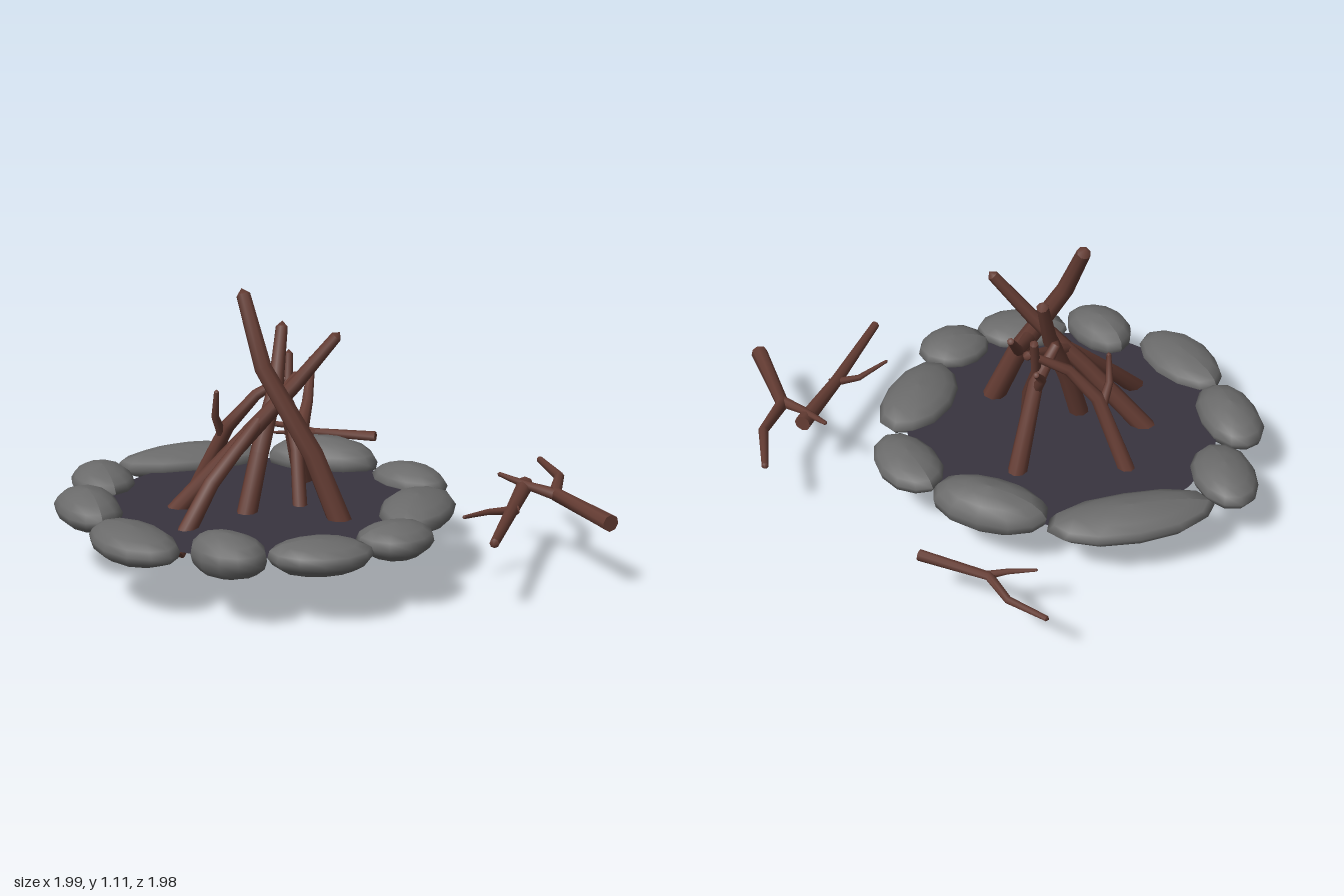
import * as THREE from 'three';

const bark = new THREE.MeshStandardMaterial({ color: 0x643c33 });
const rock = new THREE.MeshStandardMaterial({ color: 0x6b6b6b });
const ash = new THREE.MeshStandardMaterial({ color: 0x38343f, side: THREE.DoubleSide });
const SIDES = 8;

// Tapered eight-sided stick through points, with a flat butt and a short pointed tip
function stickGeometry(points, r0, r1) {
  const p = points.map(a => new THREE.Vector3(...a));
  const up = new THREE.Vector3(0, 1, 0);
  const n = p.length;
  const pos = [], idx = [];
  const ring = (c, q, r) => {
    for (let s = 0; s < SIDES; s++) {
      const a = (s / SIDES) * Math.PI * 2;
      const v = new THREE.Vector3(Math.cos(a) * r, 0, Math.sin(a) * r).applyQuaternion(q).add(c);
      pos.push(v.x, v.y, v.z);
    }
  };
  const frame = i => {
    const t = new THREE.Vector3();
    if (i > 0) t.add(p[i].clone().sub(p[i - 1]).normalize());
    if (i < n - 1) t.add(p[i + 1].clone().sub(p[i]).normalize());
    return new THREE.Quaternion().setFromUnitVectors(up, t.normalize());
  };
  const tipDir = p[n - 1].clone().sub(p[n - 2]).normalize();
  for (let i = 0; i < n; i++) {
    const r = r0 + (r1 - r0) * (i / (n - 1));
    const c = i === n - 1 ? p[i].clone().addScaledVector(tipDir, -r1) : p[i];
    ring(c, frame(i), r);
  }
  for (let i = 0; i < n - 1; i++) {
    for (let s = 0; s < SIDES; s++) {
      const a = i * SIDES + s, b = i * SIDES + (s + 1) % SIDES;
      idx.push(a, a + SIDES, b, b, a + SIDES, b + SIDES);
    }
  }
  // Tip and butt, with their own rings so the edges stay crisp
  const tipRing = pos.length / 3;
  ring(p[n - 1].clone().addScaledVector(tipDir, -r1), frame(n - 1), r1);
  pos.push(p[n - 1].x, p[n - 1].y, p[n - 1].z);
  const buttRing = pos.length / 3;
  ring(p[0], frame(0), r0);
  pos.push(p[0].x, p[0].y, p[0].z);
  for (let s = 0; s < SIDES; s++) {
    const t = (s + 1) % SIDES;
    idx.push(tipRing + s, tipRing + SIDES, tipRing + t);
    idx.push(buttRing + s, buttRing + t, buttRing + SIDES);
  }
  const g = new THREE.BufferGeometry();
  g.setAttribute('position', new THREE.Float32BufferAttribute(pos, 3));
  g.setIndex(idx);
  g.computeVertexNormals();
  return g;
}

function stick(name, parts) {
  const group = new THREE.Group();
  group.name = name;
  parts.forEach(([points, r0, r1], i) => {
    const m = new THREE.Mesh(stickGeometry(points, r0, r1), bark);
    m.name = i ? 'sideBranch' : 'mainStem';
    group.add(m);
  });
  return group;
}

// Rounded, slightly lumpy stone
function stone(x, z, halfLength, halfWidth, dx, dz, top, seed) {
  const g = new THREE.SphereGeometry(1, 12, 8);
  const a = g.attributes.position;
  for (let i = 0; i < a.count; i++) {
    const vx = a.getX(i), vy = a.getY(i), vz = a.getZ(i);
    const k = 1 + 0.05 * Math.sin(3 * vx + seed * 1.7) * Math.cos(2.5 * vz + seed) + 0.03 * Math.sin(4 * vy + seed);
    a.setXYZ(i, vx * k * halfLength, vy * k * (top - 0.19) / 2, vz * k * halfWidth);
  }
  g.computeVertexNormals();
  const m = new THREE.Mesh(g, rock);
  m.name = 'stone';
  m.position.set(x, (top + 0.19) / 2, z);
  m.rotation.y = Math.atan2(-dz, dx);
  return m;
}

export function createModel() {
  const model = new THREE.Group();
  model.name = 'campfire';

  // Dark fire bed
  const bed = new THREE.Mesh(new THREE.CircleGeometry(0.63, 32), ash);
  bed.name = 'fireBed';
  bed.rotation.x = -Math.PI / 2;
  bed.position.set(-0.21, 0.25, -0.01);
  model.add(bed);

  // Ring of stones: x, z, half length, half width, long direction, top
  const ringGroup = new THREE.Group();
  ringGroup.name = 'stoneRing';
  [
    [-0.155, -0.655, 0.335, 0.13, 1, 0.25, 0.33],
    [-0.605, -0.61, 0.185, 0.125, 0.2, -1, 0.33],
    [-0.825, -0.305, 0.21, 0.125, 0.2, -1, 0.34],
    [-0.86, 0.125, 0.23, 0.135, 0.15, 1, 0.32],
    [-0.655, 0.46, 0.17, 0.123, 0.1, 1, 0.35],
    [-0.365, 0.63, 0.19, 0.13, 1, 0.5, 0.325],
    [-0.045, 0.645, 0.147, 0.13, 1, 0.2, 0.335],
    [0.235, 0.405, 0.235, 0.14, 1, -0.8, 0.33],
    [0.455, 0.05, 0.185, 0.122, 0.1, 1, 0.32],
    [0.295, -0.345, 0.25, 0.13, 0.75, 0.9, 0.36],
  ].forEach((s, i) => ringGroup.add(stone(...s, i + 1)));
  model.add(ringGroup);

  // Leaning firewood
  const pile = new THREE.Group();
  pile.name = 'firewoodPile';
  pile.add(
    stick('tallLog', [
      [[[-0.03, 0.14, 0.33], [-0.13, 0.5, 0.22], [-0.27, 0.83, 0.09], [-0.265, 1.11, -0.07]], 0.048, 0.028],
      [[[-0.16, 0.58, 0.18], [-0.03, 0.65, 0.03], [0.065, 0.8, -0.08]], 0.03, 0.014],
    ]),
    stick('crossingLog', [
      [[[-0.56, 0.16, -0.21], [-0.3, 0.52, -0.02], [-0.12, 0.75, 0.09], [0.02, 0.95, 0.18]], 0.042, 0.022],
    ]),
    stick('bentLog', [
      [[[-0.67, 0.17, 0.1], [-0.47, 0.39, 0.03], [-0.25, 0.6, 0.02], [0.02, 0.73, -0.11]], 0.038, 0.018],
    ]),
    stick('leftLeaningLog', [
      [[[-0.39, 0.01, 0.06], [-0.24, 0.47, 0.01], [-0.13, 0.72, -0.04], [-0.055, 0.95, -0.11]], 0.044, 0.024],
    ]),
    stick('frontLog', [
      [[[-0.12, 0.09, 0.13], [-0.06, 0.45, 0], [-0.04, 0.63, -0.1], [0, 0.82, -0.15]], 0.032, 0.017],
    ]),
    stick('rightLog', [
      [[[0.13, 0.12, -0.21], [-0.02, 0.6, -0.13], [-0.14, 0.74, -0.09]], 0.042, 0.02],
      [[[-0.02, 0.57, -0.13], [-0.02, 0.65, -0.18], [0.03, 0.72, -0.22]], 0.024, 0.012],
    ]),
    stick('backLog', [
      [[[-0.31, 0.19, -0.4], [-0.24, 0.52, -0.23], [-0.14, 0.65, -0.17], [-0.02, 0.72, -0.12]], 0.035, 0.016],
      [[[-0.25, 0.48, -0.25], [-0.3, 0.57, -0.22], [-0.31, 0.69, -0.19]], 0.022, 0.01],
    ]),
  );
  model.add(pile);

  // Loose forked branches beside the ring
  model.add(
    stick('forkedBranch', [
      [[[0.71, 0.28, 0.98], [0.76, 0.285, 0.6], [0.9, 0.295, 0.46], [0.985, 0.3, 0.23]], 0.034, 0.014],
      [[[0.76, 0.285, 0.62], [0.71, 0.3, 0.5], [0.67, 0.32, 0.35]], 0.025, 0.009],
    ]),
    stick('longBranch', [
      [[[0.74, 0.285, 0.44], [0.51, 0.275, 0.64], [0.18, 0.285, 0.94]], 0.034, 0.018],
      [[[0.53, 0.275, 0.65], [0.41, 0.28, 0.62], [0.26, 0.295, 0.655]], 0.018, 0.007],
    ]),
    stick('smallTwig', [
      [[[0.66, 0.275, -0.48], [0.48, 0.27, -0.7], [0.475, 0.265, -0.84], [0.39, 0.26, -0.995]], 0.022, 0.011],
      [[[0.49, 0.27, -0.69], [0.41, 0.275, -0.715], [0.31, 0.28, -0.765]], 0.017, 0.006],
    ]),
  );
  return model;
}
